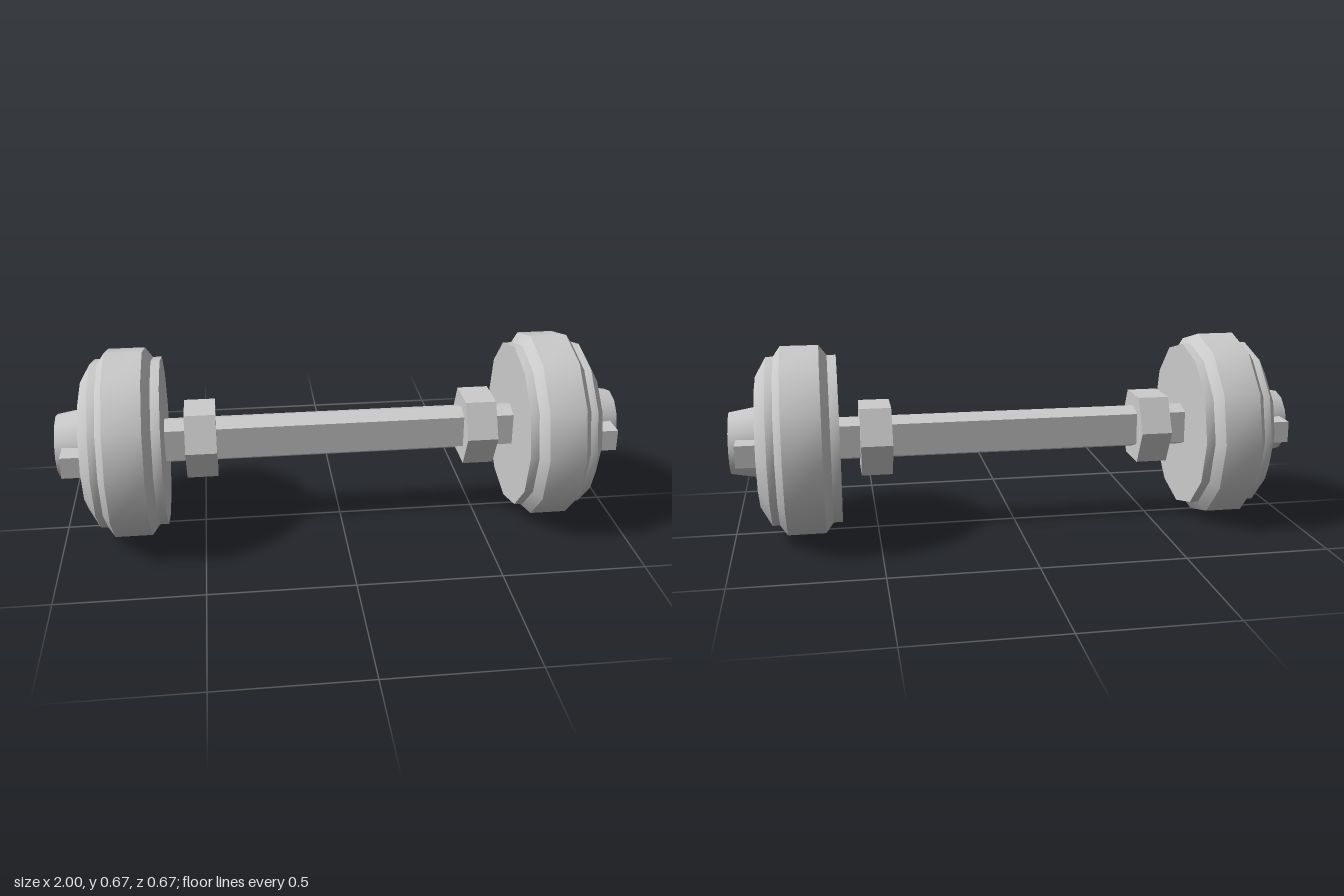
import * as THREE from 'three';
import { toCreasedNormals } from 'three/addons/utils/BufferGeometryUtils.js';

const AXIS_Y = 0.336;
const material = new THREE.MeshStandardMaterial({ color: 0xcccccc });

function part(name, geometry, x = 0) {
  const mesh = new THREE.Mesh(geometry, material);
  mesh.name = name;
  mesh.position.x = x;
  return mesh;
}

// Twelve-sided turned part along +x from [x, radius] pairs
function turned(profile) {
  const points = profile.map(([x, r]) => new THREE.Vector2(r, x));
  const geometry = new THREE.LatheGeometry(points, 12);
  geometry.rotateZ(-Math.PI / 2);
  return toCreasedNormals(geometry, 0.535);
}

// Prism along x, centred, from [z, y] corners
function prism(corners, length) {
  const shape = new THREE.Shape(corners.map(([z, y]) => new THREE.Vector2(z, y)));
  const geometry = new THREE.ExtrudeGeometry(shape, { depth: length, bevelEnabled: false });
  geometry.translate(0, 0, -length / 2);
  geometry.rotateY(Math.PI / 2);
  return geometry;
}

// Everything mounted on one end of the bar
function createEnd(name) {
  const end = new THREE.Group();
  end.name = name;

  end.add(part('weightPlate', turned([
    [0.627, 0], [0.627, 0.3], [0.658, 0.3], [0.685, 0.336], [0.815, 0.336],
    [0.84, 0.3], [0.865, 0.3], [0.904, 0.232], [0.904, 0],
  ])));
  end.add(part('endCap', turned([[0.88, 0], [0.88, 0.13], [0.904, 0.127], [1, 0.11], [1, 0]])));

  // Locking lugs on both sides of the end cap
  for (const side of [1, -1]) {
    const lug = part('lockingLug', new THREE.BoxGeometry(0.085, 0.076, 0.1), 0.931);
    lug.position.z = side * 0.14;
    end.add(lug);
  }

  // Hexagonal collar with flat top and bottom
  end.add(part('hexCollar', prism([
    [0.134, 0], [0.072, 0.12], [-0.072, 0.12], [-0.134, 0], [-0.072, -0.12], [0.072, -0.12],
  ], 0.11), 0.5));
  return end;
}

export function createModel() {
  const model = new THREE.Group();
  model.name = 'dumbbell';

  // Six-sided grip with shallow ridges above and below
  model.add(part('bar', prism([
    [0, 0.077], [-0.058, 0.057], [-0.058, -0.057], [0, -0.077], [0.058, -0.057], [0.058, 0.057],
  ], 1.28)));

  const left = createEnd('leftEnd');
  const right = createEnd('rightEnd');
  right.rotation.y = Math.PI;
  model.add(left, right);

  model.children.forEach((child) => { child.position.y = AXIS_Y; });
  return model;
}
